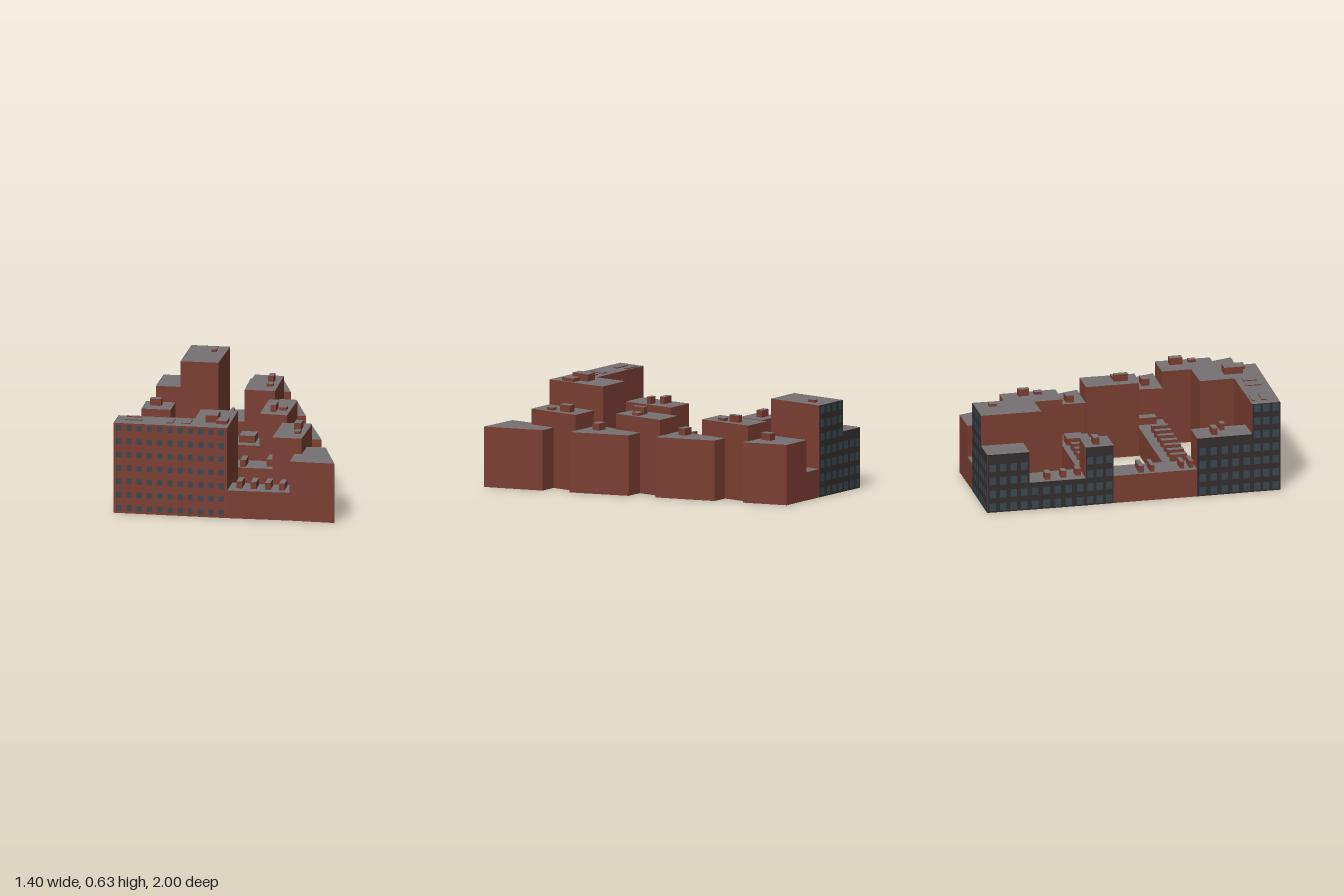
import * as THREE from 'three';
import { mergeGeometries } from 'three/addons/utils/BufferGeometryUtils.js';

const mat = (color) => new THREE.MeshStandardMaterial({ color, side: THREE.DoubleSide, roughness: 0.9 });
const LOW = 0.18, MID = 0.385, HIGH = 0.485, TALL = 0.585;
const TILT = 0.084; // the whole plan is turned slightly

export function createModel() {
  const model = new THREE.Group();
  const brick = mat(0x7a3d32), roofGrey = mat(0x757173), glass = mat(0x3a474f), panel = mat(0x332e2e);

  // upright rectangle between two plan points, facing the outside
  function wall([ax, az], [bx, bz], y0, y1) {
    const g = new THREE.PlaneGeometry(Math.hypot(bx - ax, bz - az), y1 - y0);
    g.rotateY(Math.atan2(az - bz, bx - ax));
    return g.translate((ax + bx) / 2, (y0 + y1) / 2, (az + bz) / 2);
  }

  // open-bottomed block: brick walls and a grey roof over a plan outline
  function block(name, pts, y0, y1) {
    const group = new THREE.Group();
    group.name = name;
    const sides = pts.map((p, i) => wall(pts[(i + 1) % pts.length], p, y0, y1));
    const walls = new THREE.Mesh(mergeGeometries(sides), brick);
    walls.name = name + 'Walls';
    const shape = new THREE.Shape(pts.map(([x, z]) => new THREE.Vector2(x, -z)));
    const top = new THREE.ShapeGeometry(shape).rotateX(-Math.PI / 2).translate(0, y1, 0);
    const roof = new THREE.Mesh(top, roofGrey);
    roof.name = name + 'Roof';
    group.add(walls, roof);
    model.add(group);
  }

  // small structure on a roof
  function roofBox(name, x, z, w, d, base, h) {
    const c = Math.cos(TILT), s = Math.sin(TILT);
    const pts = [[-1, -1], [1, -1], [1, 1], [-1, 1]].map(([i, j]) => {
      const u = i * w / 2, v = j * d / 2;
      return [x + u * c - v * s, z + u * s + v * c];
    });
    block(name, pts, base, base + h);
  }

  // grid of windows on the wall running from a to b (outside on its right-hand normal)
  function windows(name, a, b, height, cols, w, h, dark) {
    const len = Math.hypot(b[0] - a[0], b[1] - a[1]);
    const dx = (b[0] - a[0]) / len, dz = (b[1] - a[1]) / len;
    const at = (t, off) => [a[0] + dx * t - dz * off, a[1] + dz * t + dx * off];
    if (dark) {
      const m = new THREE.Mesh(wall(at(0, 0.001), at(len, 0.001), 0, height), panel);
      m.name = name + 'Panel';
      model.add(m);
    }
    const panes = [];
    const rows = Math.round(height / 0.086);
    for (let r = 0; r < rows; r++) {
      const y = 0.035 + r * 0.0867;
      for (let i = 0; i < cols; i++) {
        const t = (i + 0.5) * len / cols;
        panes.push(wall(at(t - w / 2, 0.003), at(t + w / 2, 0.003), Math.max(0.003, y - h / 2), Math.min(height - 0.004, y + h / 2)));
      }
    }
    const m = new THREE.Mesh(mergeGeometries(panes), glass);
    m.name = name;
    model.add(m);
  }

  // front range with its courtyard wing
  block('frontBlock', [[-0.685, 0.7], [-0.2, 0.735], [-0.185, 0.515], [0.05, 0.53], [0.02, 0.945], [-0.7, 0.88]], 0, TALL);
  block('frontLowRange', [[0.035, 0.755], [0.43, 0.79], [0.415, 0.968], [0.02, 0.945]], 0, LOW);

  // back range
  block('backCornerBlock', [[-0.55, -1], [-0.375, -0.985], [-0.4, -0.715], [-0.575, -0.73]], 0, MID);
  block('backTower', [[-0.375, -0.985], [-0.13, -0.965], [-0.17, -0.582], [-0.41, -0.6]], 0, TALL);
  block('backLowRange', [[-0.13, -0.965], [0, -0.955], [-0.015, -0.68], [-0.165, -0.69]], 0, LOW);

  // side range on the -x edge, alternating low and raised parts
  block('sideLowRangeBack', [[-0.575, -0.73], [-0.4, -0.715], [-0.42, -0.352], [-0.605, -0.37]], 0, LOW);
  block('sideTowerMiddle', [[-0.605, -0.37], [-0.42, -0.352], [-0.435, -0.175], [-0.617, -0.19]], 0, MID);
  block('sideLowRangeMiddle', [[-0.617, -0.19], [-0.435, -0.175], [-0.478, 0.362], [-0.66, 0.345]], 0, LOW);
  block('sideTowerFront', [[-0.66, 0.345], [-0.478, 0.362], [-0.505, 0.715], [-0.685, 0.7]], 0, MID);

  // low bars between the courtyards
  block('crossBarBack', [[-0.42, -0.365], [0.21, -0.31], [0.185, -0.11], [-0.435, -0.178]], 0, LOW);
  block('crossBarFront', [[-0.463, 0.178], [0.3, 0.24], [0.29, 0.42], [-0.478, 0.362]], 0, LOW);

  // stepped towers and slanted wedges along the +x edge
  block('backStepTower', [[0.05, -0.69], [0.235, -0.67], [0.21, -0.31], [0.02, -0.325]], 0, HIGH);
  block('middleStepTower', [[0.19, -0.115], [0.37, -0.1], [0.335, 0.25], [0.16, 0.225]], 0, HIGH);
  block('frontStepTower', [[0.32, 0.425], [0.51, 0.44], [0.475, 0.79], [0.29, 0.775]], 0, HIGH);
  block('wedge', [[0, -0.955], [0.21, -0.94], [0.28, -0.66], [-0.015, -0.68]], 0, MID);
  block('wedge', [[0.22, -0.49], [0.33, -0.48], [0.425, -0.1], [0.18, -0.12]], 0, MID);
  block('wedge', [[0.35, 0.06], [0.47, 0.07], [0.57, 0.445], [0.285, 0.42]], 0, MID);
  block('wedge', [[0.49, 0.615], [0.61, 0.62], [0.7, 1], [0.415, 0.968], [0.43, 0.785], [0.475, 0.79]], 0, MID);

  // rows of roof lights on the low bars
  const row = (n, x, z, dx, dz) => {
    for (let i = 0; i < n; i++) roofBox('roofLight', x + i * dx, z + i * dz, 0.035, 0.105, LOW, 0.045);
  };
  row(4, -0.34, -0.27, 0.085, 0.008);
  row(7, -0.46, 0.285, 0.089, 0.008);
  row(4, 0.095, 0.835, 0.09, 0.01);
  roofBox('roofHut', 0.05, -0.24, 0.1, 0.11, LOW, 0.045);
  roofBox('roofHut', 0.25, 0.3, 0.06, 0.12, LOW, 0.045);

  // roof huts: x, z, width, depth, base, height
  [
    [-0.085, 0.76, 0.075, 0.12, TALL, 0.045], [-0.02, 0.81, 0.07, 0.09, TALL, 0.022],
    [-0.345, 0.815, 0.04, 0.1, TALL, 0.006], [-0.245, 0.82, 0.06, 0.09, TALL, 0.006],
    [-0.58, 0.8, 0.11, 0.03, TALL, 0.006], [-0.58, 0.73, 0.1, 0.02, TALL, 0.006],
    [-0.218, -0.86, 0.03, 0.05, TALL, 0.016], [-0.1, -0.8, 0.02, 0.08, LOW, 0.045],
    [0.12, -0.745, 0.05, 0.07, MID, 0.045], [0.25, -0.21, 0.07, 0.05, MID, 0.045],
    [0.4, 0.335, 0.07, 0.05, MID, 0.045],
    [0.17, -0.535, 0.035, 0.07, HIGH, 0.045], [0.17, -0.44, 0.04, 0.05, HIGH, 0.018],
    [0.245, 0.13, 0.035, 0.09, HIGH, 0.045], [0.3, 0.11, 0.05, 0.05, HIGH, 0.018],
    [0.435, 0.55, 0.045, 0.08, HIGH, 0.045], [0.44, 0.66, 0.035, 0.05, HIGH, 0.018],
    [-0.525, -0.6, 0.06, 0.035, LOW, 0.045], [-0.525, -0.495, 0.05, 0.035, LOW, 0.045],
    [-0.51, -0.395, 0.06, 0.035, LOW, 0.045], [-0.535, -0.285, 0.07, 0.04, MID, 0.045],
    [-0.55, 0, 0.12, 0.03, LOW, 0.045], [-0.56, 0.07, 0.11, 0.025, LOW, 0.045],
    [-0.57, 0.265, 0.09, 0.025, LOW, 0.045], [-0.57, 0.325, 0.1, 0.025, LOW, 0.045],
    [-0.595, 0.475, 0.07, 0.035, MID, 0.045], [-0.535, 0.545, 0.05, 0.03, MID, 0.045],
  ].forEach((b) => roofBox('roofHut', ...b));

  // window grids
  windows('frontWindows', [-0.7, 0.88], [0.015, 0.945], TALL, 11, 0.033, 0.036, false);
  [
    ['cornerWindows', [-0.55, -1], [-0.575, -0.73], MID, 4],
    ['lowSideWindows', [-0.575, -0.73], [-0.605, -0.37], LOW, 5],
    ['sideTowerWindows', [-0.605, -0.37], [-0.617, -0.19], MID, 3],
    ['sideTowerWindows', [-0.66, 0.345], [-0.685, 0.7], MID, 5],
    ['frontBlockSideWindows', [-0.685, 0.7], [-0.7, 0.88], TALL, 3],
    ['cornerBackWindows', [-0.375, -0.985], [-0.55, -1], MID, 3],
    ['backTowerWindows', [-0.13, -0.965], [-0.375, -0.985], TALL, 4],
  ].forEach(([name, a, b, h, cols]) => windows(name, a, b, h, cols, 0.042, 0.05, true));

  return model;
}
